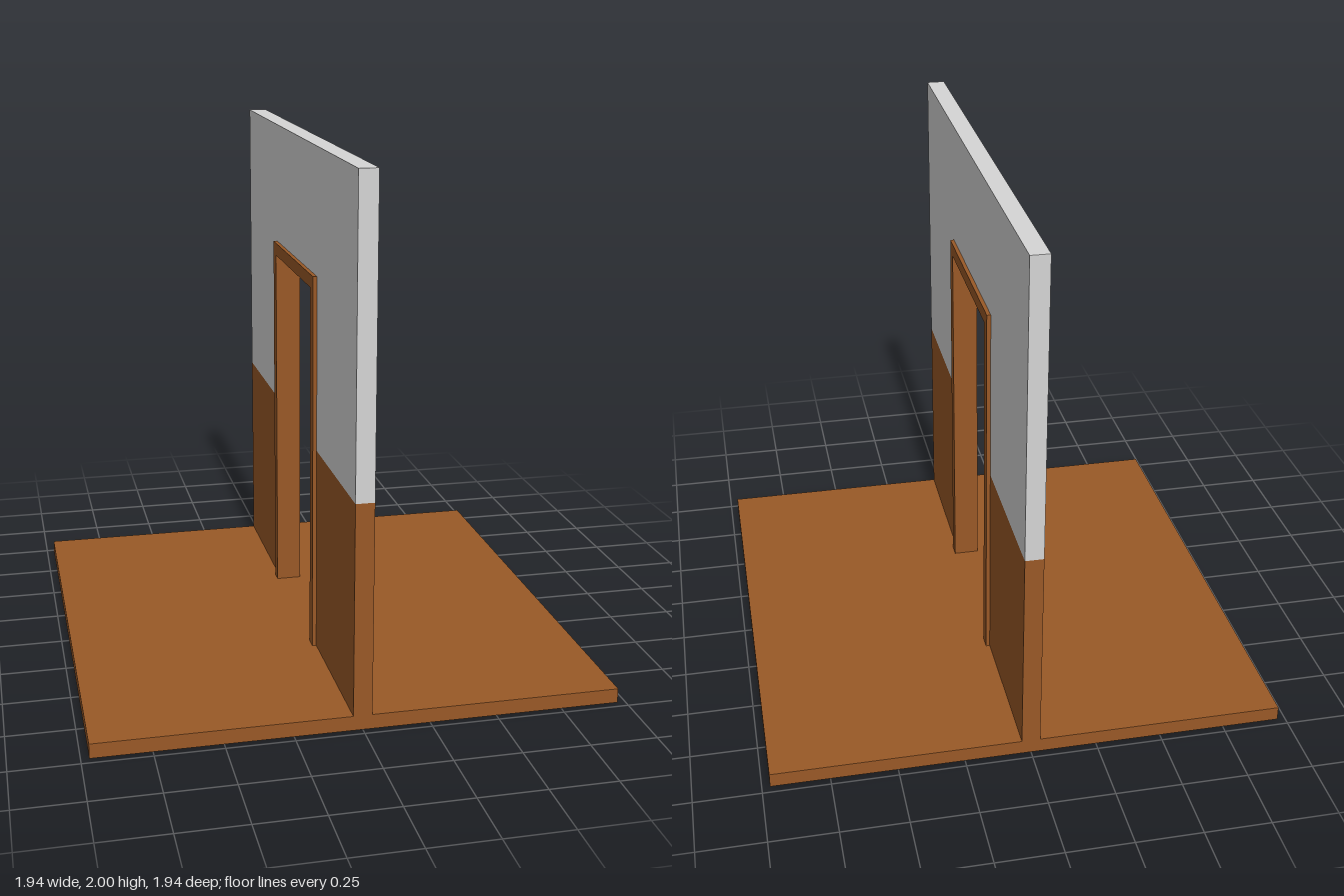
import * as THREE from 'three';

export function createModel() {
  const wood = new THREE.MeshStandardMaterial({ color: 0x995927 });
  wood.name = 'brown wood';
  const plaster = new THREE.MeshStandardMaterial({ color: 0xd5d5d5 });
  plaster.name = 'light grey plaster';

  const HALF = 0.97;        // half width of floor and wall
  const FLOOR = 0.055;      // floor top
  const SPLIT = 0.855;      // top of the wainscot
  const TOP = 2;            // wall top
  const DOOR = { inner: 0.32, outer: 0.37, head: 1.475, top: 1.525 };
  const WALL = 0.07, FRAME = 0.1; // thicknesses along x

  const model = new THREE.Group();
  model.name = 'doorwayWall';

  // Outline in (z, y), extruded along x and centred on x = 0
  function addSlab(name, points, thickness, material) {
    const shape = new THREE.Shape(points.map(([z, y]) => new THREE.Vector2(z, y)));
    const geometry = new THREE.ExtrudeGeometry(shape, { depth: thickness, bevelEnabled: false });
    geometry.translate(0, 0, -thickness / 2);
    geometry.rotateY(-Math.PI / 2);
    const mesh = new THREE.Mesh(geometry, material);
    mesh.name = name;
    model.add(mesh);
  }

  // Arch-like outline: two legs joined by a bar, open at the bottom
  const portal = (outer, inner, bottom, head, top) => [
    [-outer, bottom], [-inner, bottom], [-inner, head], [inner, head],
    [inner, bottom], [outer, bottom], [outer, top], [-outer, top],
  ];

  // Floor
  const floor = new THREE.Mesh(new THREE.BoxGeometry(HALF * 2, FLOOR, HALF * 2), wood);
  floor.name = 'floor';
  floor.position.y = FLOOR / 2;
  model.add(floor);

  // Wainscot on each side of the doorway, tucked into the door frame
  const reach = (DOOR.inner + DOOR.outer) / 2;
  for (const [name, s] of [['frontWainscot', 1], ['backWainscot', -1]]) {
    const width = HALF - reach;
    const panel = new THREE.Mesh(new THREE.BoxGeometry(WALL, SPLIT - FLOOR, width), wood);
    panel.name = name;
    panel.position.set(0, (FLOOR + SPLIT) / 2, s * (reach + width / 2));
    model.add(panel);
  }

  // Plastered upper wall around the doorway
  addSlab('upperWall', portal(HALF, reach, SPLIT, (DOOR.head + DOOR.top) / 2, TOP), WALL, plaster);

  // Door frame, standing slightly proud of both wall faces
  addSlab('doorFrame', portal(DOOR.outer, DOOR.inner, FLOOR, DOOR.head, DOOR.top), FRAME, wood);

  return model;
}
